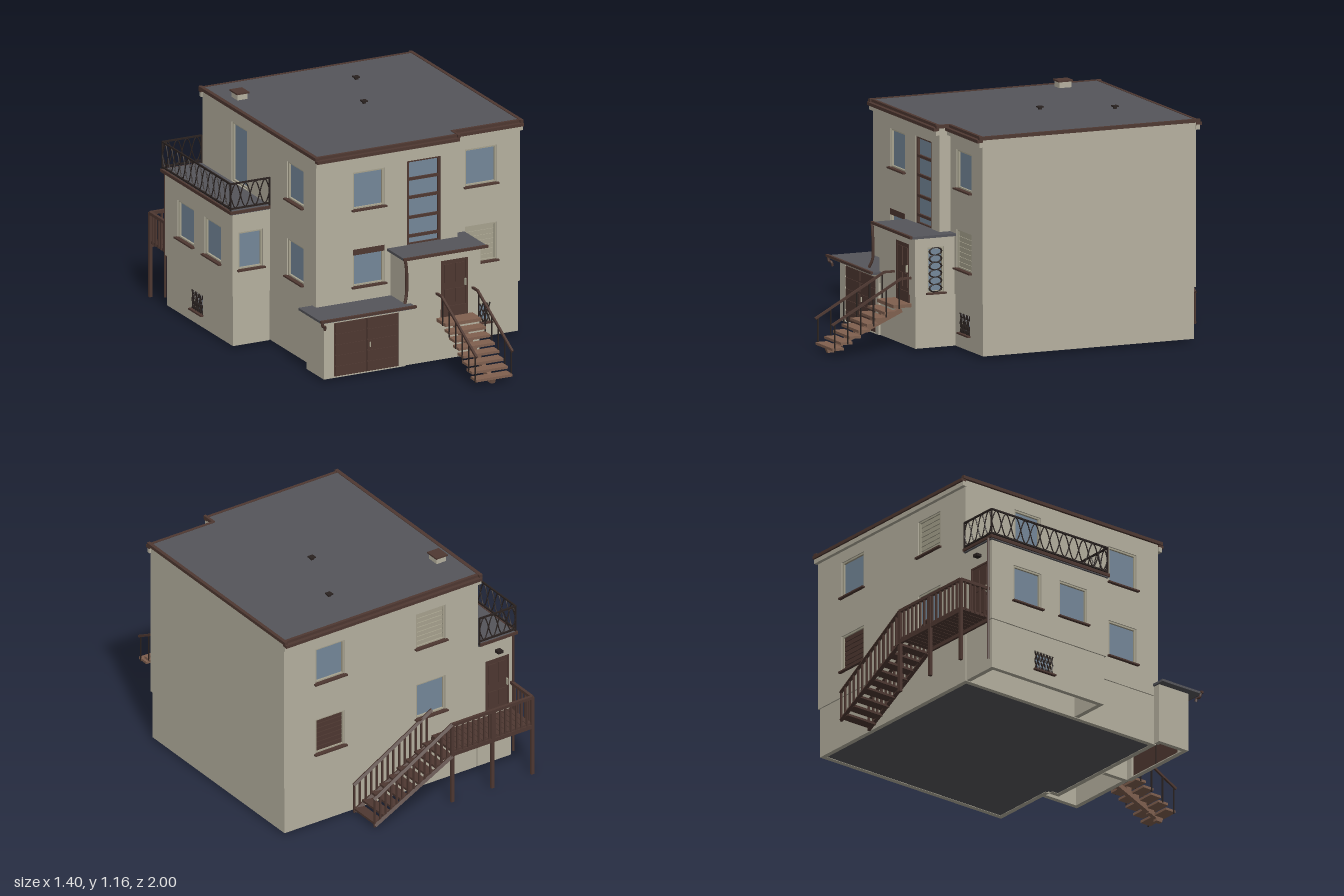
import * as THREE from 'three';

const mat = (name, color, side = THREE.FrontSide) => {
  const m = new THREE.MeshStandardMaterial({ color, side });
  m.name = name;
  return m;
};
const V = (x, y, z) => new THREE.Vector3(x, y, z);

export function createModel() {
  const plaster = mat('beige plaster', 0xb6b1a0, THREE.DoubleSide);
  const frame = mat('window frame beige', 0xa8a38f);
  const roofGrey = mat('roof grey', 0x55555a);
  const brown = mat('dark brown', 0x4e3831);
  const tread = mat('stair brown', 0x80604f);
  const glass = mat('glass blue', 0x75889a);
  const iron = mat('black iron', 0x2a2220);
  const house = new THREE.Group();
  house.name = 'house';

  const group = (name, parent = house) => {
    const g = new THREE.Group();
    g.name = name;
    parent.add(g);
    return g;
  };
  const box = (parent, name, m, w, h, d, x, y, z) => {
    const mesh = new THREE.Mesh(new THREE.BoxGeometry(w, h, d), m);
    mesh.name = name;
    mesh.position.set(x, y, z);
    parent.add(mesh);
    return mesh;
  };
  // box given by its two opposite corners
  const span = (parent, name, m, x0, x1, y0, y1, z0, z1) =>
    box(parent, name, m, x1 - x0, y1 - y0, z1 - z0, (x0 + x1) / 2, (y0 + y1) / 2, (z0 + z1) / 2);
  // square bar between two points
  const bar = (parent, name, m, a, b, w) => {
    const d = b.clone().sub(a), mesh = box(parent, name, m, w, w, d.length(), 0, 0, 0);
    mesh.position.copy(a).add(b).multiplyScalar(0.5);
    mesh.quaternion.setFromUnitVectors(V(0, 0, 1), d.normalize());
  };
  const tube = (parent, name, m, pts, r, n = 24) => {
    const mesh = new THREE.Mesh(new THREE.TubeGeometry(new THREE.CatmullRomCurve3(pts), n, r, 6), m);
    mesh.name = name;
    parent.add(mesh);
  };

  // what sits in a wall opening, centred on (0,0), wall face at z = 0
  function fillOpening(g, w, h, kind) {
    const t = 0.009;
    const surround = (m, d = 0.012) => {
      for (const s of [-1, 1]) {
        box(g, 'frameSide', m, t, h, d, s * (w - t) / 2, 0, -0.012);
        box(g, 'frameRail', m, w, t, d, 0, s * (h - t) / 2, -0.012);
      }
    };
    const sill = () => box(g, 'sill', brown, w + 0.018, 0.008, 0.03, 0, -h / 2 - 0.002, 0.002);
    if (kind === 'door') {
      box(g, 'doorLeaf', brown, w, h, 0.012, 0, 0, -0.01);
      surround(brown, 0.026);
      for (const s of [-1, 1]) {
        box(g, 'upperPanel', brown, w * 0.32, h * 0.38, 0.006, s * w * 0.2, h * 0.22, -0.003);
        box(g, 'lowerPanel', brown, w * 0.32, h * 0.28, 0.006, s * w * 0.2, -h * 0.25, -0.003);
      }
      box(g, 'doorHandle', frame, 0.007, 0.035, 0.012, w * 0.4, 0, 0.004);
      return;
    }
    if (kind === 'garage') {
      for (const s of [-1, 1]) {
        box(g, 'garageLeaf', brown, w / 2 - 0.003, h, 0.012, s * w / 4, 0, -0.01);
        for (let i = -2; i <= 2; i++)
          box(g, 'garageBoard', brown, w / 2 - 0.016, h / 5 - 0.008, 0.005, s * w / 4, i * h / 5, -0.003);
      }
      box(g, 'garageGap', iron, 0.006, h, 0.01, 0, 0, -0.012);
      box(g, 'garageHandle', frame, 0.005, 0.025, 0.008, 0.02, 0, 0.002);
      return;
    }
    const pane = kind === 'shutter' ? frame : kind === 'brownShutter' ? brown : glass;
    box(g, 'pane', pane, w, h, 0.006, 0, 0, -0.02);
    surround(kind === 'stair' ? brown : frame);
    if (kind === 'stair') {
      for (const y of [-0.175, -0.078, 0.026, 0.122]) box(g, 'stairWindowBar', brown, w, 0.014, 0.014, 0, y, -0.012);
      for (const s of [-1, 1]) box(g, 'stairWindowSide', brown, 0.014, h, 0.014, s * (w / 2 - 0.007), 0, -0.011);
      return;
    }
    if (kind === 'shutter' || kind === 'brownShutter')
      for (let i = -3; i <= 3; i++) box(g, 'slat', pane, w - 0.02, h / 7 - 0.006, 0.006, 0, i * h / 7.6, -0.015);
    if (kind === 'halfShutter') box(g, 'shutterBox', brown, w, 0.03, 0.016, 0, h / 2 - 0.015, -0.006);
    if (kind === 'lattice')
      for (const s of [-1, 1]) for (const i of [-1, 0, 1]) {
        const c = i * w / 3, r = w / 6;
        bar(g, 'latticeBar', iron, V(c - r, -s * h / 2, 0), V(c + r, s * h / 2, 0), 0.005);
        bar(g, 'latticeCross', iron, V(c - r, 0, 0), V(c, s * h / 2, 0), 0.005);
        bar(g, 'latticeCross', iron, V(c + r, 0, 0), V(c, s * h / 2, 0), 0.005);
      }
    if (kind === 'ovals')
      for (let i = 0; i < 6; i++) {
        const ring = new THREE.Mesh(new THREE.TorusGeometry(0.025, 0.004, 5, 16), iron);
        ring.name = 'grilleOval';
        ring.scale.set(1.3, 0.75, 1);
        ring.position.set(0, (i - 2.5) * 0.037, -0.004);
        g.add(ring);
      }
    if (kind !== 'balcony') sill();
  }

  // wall from a to b in plan, outer face to the right; openings: [centre x or z, centre y, w, h, kind]
  function wall(name, [x0, z0], [x1, z1], y0, y1, openings = []) {
    const g = group(name), len = Math.hypot(x1 - x0, z1 - z0);
    g.position.set(x0, 0, z0);
    g.rotation.y = Math.atan2(z0 - z1, x1 - x0);
    const shape = new THREE.Shape([[0, y0], [len, y0], [len, y1], [0, y1]].map(p => new THREE.Vector2(...p)));
    for (const [c, cy, w, h, kind] of openings) {
      const u = Math.abs(c - (Math.abs(x1 - x0) > 1e-6 ? x0 : z0));
      shape.holes.push(new THREE.Path([[-1, -1], [-1, 1], [1, 1], [1, -1]].map(
        ([a, b]) => new THREE.Vector2(u + a * w / 2, cy + b * h / 2))));
      const f = group(kind + 'Opening', g);
      f.position.set(u, cy, 0);
      fillOpening(f, w, h, kind);
    }
    const mesh = new THREE.Mesh(new THREE.ExtrudeGeometry(shape, { depth: 0.025, bevelEnabled: false }), plaster);
    mesh.name = 'plaster';
    mesh.position.z = -0.025;
    g.add(mesh);
  }
  const walls = (name, pts, y0, y1, openings = {}, closed = true) => {
    for (let i = 0; i < pts.length - (closed ? 0 : 1); i++)
      wall(name, pts[i], pts[(i + 1) % pts.length], y0, y1, openings[i]);
  };
  const win = (c, y, kind = 'glass', w = 0.175) => [c, y, w, 0.195, kind];

  // main block: upper walls, then the slightly recessed plinth
  const plan = e => [[-0.475 + e, 0.415 - e], [0.31 - e, 0.415 - e], [0.31 - e, 0.355 - e],
    [0.69 - e, 0.355 - e], [0.69 - e, -0.805 + e], [-0.475 + e, -0.805 + e]];
  walls('mainWall', plan(0), 0.277, 1.112, {
    0: [win(-0.183, 0.91), win(-0.183, 0.508, 'halfShutter'), [0.125, 0.8, 0.19, 0.44, 'stair']],
    2: [win(0.472, 0.91), win(0.472, 0.508, 'shutter')],
    4: [win(0.415, 0.91), win(0.415, 0.508, 'brownShutter'), win(-0.19, 0.91, 'shutter'), win(-0.19, 0.508)],
    5: [win(0.19, 0.91), win(0.19, 0.508), [-0.41, 0.88, 0.165, 0.31, 'balcony']],
  });
  walls('plinth', plan(0.007), 0.015, 0.277, { 2: [[0.47, 0.14, 0.115, 0.1, 'lattice']] });
  const slab = (name, pts, y, h, m) => {
    const s = new THREE.Shape(pts.map(([x, z]) => new THREE.Vector2(x, -z)));
    const mesh = new THREE.Mesh(new THREE.ExtrudeGeometry(s, { depth: h, bevelEnabled: false }), m);
    mesh.name = name;
    mesh.rotation.x = -Math.PI / 2;
    mesh.position.y = y;
    house.add(mesh);
  };
  slab('roof', plan(-0.004), 1.108, 0.01, roofGrey);
  slab('floor', plan(0.02), 0.017, 0.01, roofGrey);

  // eaves: beige cornice with a brown gutter, and thin brown verges
  const eaves = group('eaves');
  for (const [x0, x1, z, s] of [[-0.482, 0.31, 0.415, 1], [0.31, 0.697, 0.355, 1], [-0.482, 0.697, -0.805, -1]]) {
    box(eaves, 'cornice', plaster, x1 - x0, 0.025, 0.02, (x0 + x1) / 2, 1.08, z + s * 0.009);
    box(eaves, 'gutter', brown, x1 - x0, 0.016, 0.028, (x0 + x1) / 2, 1.098, z + s * 0.015);
    box(eaves, 'eavesTrim', brown, x1 - x0, 0.014, 0.016, (x0 + x1) / 2, 1.113, z + s * 0.002);
  }
  span(eaves, 'verge', brown, -0.488, -0.468, 1.104, 1.121, -0.825, 0.435);
  span(eaves, 'verge', brown, 0.682, 0.7, 1.104, 1.121, -0.825, 0.375);
  span(eaves, 'verge', brown, 0.304, 0.318, 1.104, 1.121, 0.355, 0.435);

  // chimney and vents
  span(house, 'chimney', plaster, -0.415, -0.36, 1.11, 1.15, -0.61, -0.545);
  span(house, 'chimneyCap', brown, -0.422, -0.353, 1.148, 1.156, -0.617, -0.538);
  for (const [x, z] of [[0.12, -0.22], [0.255, -0.565]]) {
    box(house, 'vent', iron, 0.016, 0.02, 0.016, x, 1.12, z);
    box(house, 'ventCap', iron, 0.03, 0.006, 0.03, x, 1.131, z);
  }

  // side wing with roof terrace
  const wing = e => [[-0.475, -0.805 + e], [-0.685 + e, -0.805 + e], [-0.685 + e, -0.08 - e], [-0.475, -0.08 - e]];
  walls('wingWall', wing(0), 0.277, 0.705, {
    0: [[-0.59, 0.45, 0.14, 0.3, 'door']],
    1: [win(-0.58, 0.508), win(-0.29, 0.508)],
    2: [win(-0.583, 0.508, 'glass', 0.135)],
  }, false);
  walls('wingPlinth', wing(0.008), 0.015, 0.277, { 1: [[-0.47, 0.13, 0.115, 0.1, 'lattice']] }, false);
  span(house, 'terraceSlab', roofGrey, -0.695, -0.475, 0.703, 0.722, -0.815, -0.075);
  span(house, 'terraceEdge', brown, -0.702, -0.69, 0.708, 0.724, -0.822, -0.072);
  for (const z of [-0.818, -0.074]) box(house, 'terraceEdge', brown, 0.222, 0.014, 0.01, -0.588, 0.715, z);
  box(house, 'lamp', iron, 0.03, 0.015, 0.03, -0.59, 0.645, -0.82);

  // terrace railing with crossed waves
  const terrace = group('terraceRailing');
  const rail = (a, b, lenses) => {
    for (const y of [0.735, 0.865]) bar(terrace, 'rail', iron, V(a[0], y, a[1]), V(b[0], y, b[1]), 0.008);
    for (const p of [a, b]) bar(terrace, 'post', iron, V(p[0], 0.715, p[1]), V(p[0], 0.868, p[1]), 0.007);
    for (const s of [-1, 1]) {
      const pts = [];
      for (let i = 0; i <= lenses * 6; i++) {
        const t = i / (lenses * 6);
        pts.push(V(a[0] + (b[0] - a[0]) * t, 0.8 + s * 0.062 * Math.sin(t * lenses * Math.PI), a[1] + (b[1] - a[1]) * t));
      }
      tube(terrace, 'wave', iron, pts, 0.003, lenses * 10);
    }
  };
  rail([-0.477, -0.813], [-0.694, -0.813], 4);
  rail([-0.694, -0.813], [-0.694, -0.08], 12);
  rail([-0.694, -0.08], [-0.477, -0.08], 4);

  // entrance porch and garage
  walls('porch', [[-0.06, 0.415], [-0.06, 0.57], [0.36, 0.57], [0.36, 0.355]], 0.277, 0.572, {
    1: [[0.213, 0.404, 0.15, 0.25, 'door']], 2: [[0.457, 0.405, 0.09, 0.23, 'ovals']],
  }, false);
  walls('porchPlinth', [[-0.06, 0.415], [-0.06, 0.565], [0.355, 0.565], [0.355, 0.348]], 0.015, 0.277, {}, false);
  box(house, 'doorFoot', brown, 0.15, 0.05, 0.008, 0.213, 0.257, 0.567);
  span(house, 'porchRoof', roofGrey, -0.08, 0.38, 0.57, 0.583, 0.357, 0.597);
  span(house, 'porchGutter', brown, -0.085, 0.383, 0.573, 0.586, 0.594, 0.608);
  walls('garage', [[-0.475, 0.39], [-0.515, 0.39], [-0.515, 0.575], [-0.06, 0.575]], 0.015, 0.326,
    { 2: [[-0.278, 0.16, 0.362, 0.28, 'garage']] }, false);
  span(house, 'garageRoof', roofGrey, -0.555, -0.06, 0.325, 0.337, 0.418, 0.625);
  span(house, 'garageRoof', roofGrey, -0.555, -0.477, 0.325, 0.337, 0.38, 0.418);
  span(house, 'garageRoof', roofGrey, -0.06, -0.03, 0.325, 0.337, 0.572, 0.625);
  span(house, 'garageGutter', brown, -0.56, -0.028, 0.33, 0.342, 0.62, 0.634);

  // drain pipes
  tube(house, 'porchPipe', brown, [V(-0.076, 0.575, 0.603), V(-0.07, 0.53, 0.603), V(-0.07, 0.4, 0.603), V(-0.085, 0.355, 0.615)], 0.008);
  tube(house, 'garagePipe', brown, [V(-0.55, 0.332, 0.625), V(-0.545, 0.31, 0.622), V(-0.53, 0.305, 0.615), V(-0.528, 0.285, 0.61)], 0.007);
  tube(house, 'wingPipe', brown, [V(-0.675, 0.71, -0.82), V(-0.675, 0.4, -0.82), V(-0.675, 0.05, -0.82)], 0.007);

  // front stairs
  const front = group('frontStairs');
  span(front, 'landing', tread, 0.115, 0.315, 0.218, 0.235, 0.567, 0.665);
  for (let i = 0; i < 7; i++) {
    box(front, 'tread', tread, 0.2, 0.013, 0.062, 0.215, 0.198 - i * 0.027, 0.685 + i * 0.047);
    box(front, 'treadBracket', tread, 0.024, 0.025, 0.03, 0.215, 0.18 - i * 0.027, 0.68 + i * 0.047);
  }
  bar(front, 'stringer', tread, V(0.215, 0.19, 0.58), V(0.215, 0.015, 0.985), 0.024);
  for (const x of [0.115, 0.315]) {
    bar(front, 'handrail', brown, V(x, 0.16, 1), V(x, 0.365, 0.625), 0.011);
    bar(front, 'handrailEnd', brown, V(x, 0.365, 0.63), V(x, 0.365, 0.57), 0.011);
    for (let i = 0; i < 6; i++) {
      const z = 0.985 - i * 0.07, top = Math.min(0.365, 0.16 + (1 - z) * 0.547);
      bar(front, 'baluster', iron, V(x, top - 0.145, z), V(x, top, z), 0.006);
    }
  }

  // rear wooden deck and stairs
  const deck = group('rearDeck');
  for (let i = 0; i < 16; i++) box(deck, 'plank', brown, 0.0275, 0.014, 0.18, -0.655 + i * 0.03, 0.285, -0.9);
  for (let i = 0; i < 9; i++) box(deck, 'rearTread', brown, 0.054, 0.012, 0.18, -0.165 + i * 0.052, 0.26 - i * 0.029, -0.9);
  for (const z of [-0.815, -0.99]) {
    span(deck, 'joist', brown, -0.67, -0.19, 0.26, 0.282, z - 0.006, z + 0.006);
    bar(deck, 'rearStringer', brown, V(-0.19, 0.26, z), V(0.275, 0.015, z), 0.018);
    bar(deck, 'rearHandrail', brown, V(-0.19, 0.44, z), V(0.28, 0.165, z), 0.016);
    for (let i = 0; i < 14; i++) {
      const x = -0.16 + i * 0.0335, y = 0.44 - (x + 0.19) * 0.585;
      bar(deck, 'rearBaluster', brown, V(x, y - 0.16, z), V(x, y, z), 0.009);
    }
  }
  bar(deck, 'deckRail', brown, V(-0.67, 0.437, -0.99), V(-0.19, 0.437, -0.99), 0.016);
  bar(deck, 'deckRail', brown, V(-0.67, 0.437, -0.99), V(-0.67, 0.437, -0.81), 0.016);
  for (let i = 0; i <= 15; i++) bar(deck, 'deckBaluster', brown, V(-0.67 + i * 0.032, 0.28, -0.99), V(-0.67 + i * 0.032, 0.437, -0.99), 0.009);
  for (let i = 1; i < 6; i++) bar(deck, 'deckBaluster', brown, V(-0.67, 0.28, -0.99 + i * 0.03), V(-0.67, 0.437, -0.99 + i * 0.03), 0.009);
  for (const x of [-0.67, -0.43, -0.19]) bar(deck, 'deckPost', brown, V(x, 0, -0.99), V(x, 0.44, -0.99), 0.016);
  return house;
}
